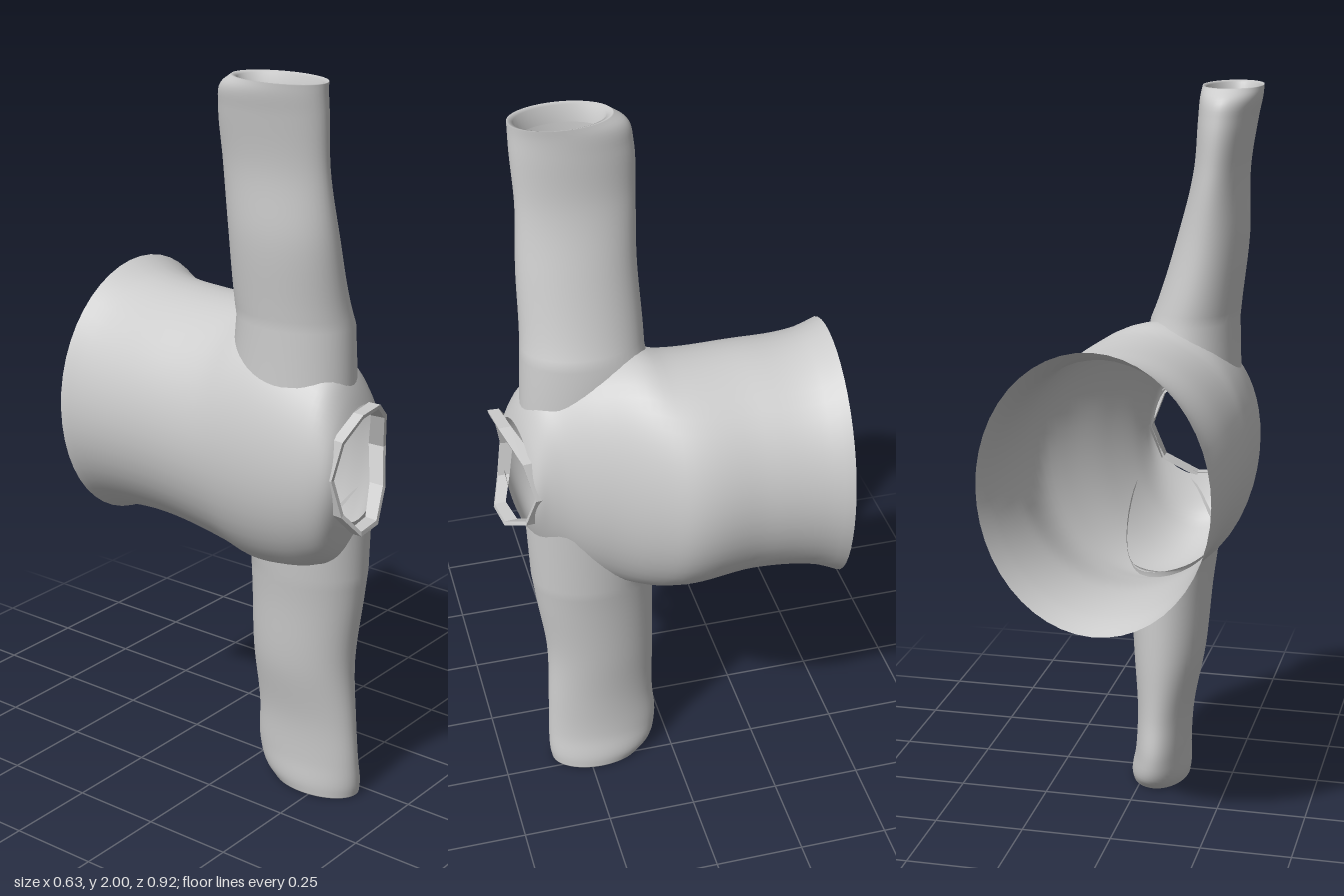
import * as THREE from 'three';

const material = new THREE.MeshStandardMaterial({ color: 0xcccccc, side: THREE.DoubleSide });
const flatMaterial = new THREE.MeshStandardMaterial({ color: 0xcccccc, side: THREE.DoubleSide, flatShading: true });
const SIDES = 48;

// Skin a list of closed rings, each an array of [x, y, z]
function loft(name, rings, mat = material) {
  const n = rings[0].length;
  const index = [];
  for (let r = 0; r < rings.length - 1; r++) {
    for (let i = 0; i < n; i++) {
      const a = r * n + i, b = r * n + (i + 1) % n;
      index.push(a, b, a + n, b, b + n, a + n);
    }
  }
  const geometry = new THREE.BufferGeometry();
  geometry.setAttribute('position', new THREE.Float32BufferAttribute(rings.flat(2), 3));
  geometry.setIndex(index);
  geometry.computeVertexNormals();
  const mesh = new THREE.Mesh(geometry, mat);
  mesh.name = name;
  return mesh;
}

// One closed ring: point(cos, sin) for each angle
function ring(sides, point) {
  return Array.from({ length: sides }, (_, i) => {
    const a = (i / sides) * Math.PI * 2;
    return point(Math.cos(a), Math.sin(a));
  });
}

// Smooth lookup through rows of [t, low1, high1, low2, high2]
function profile(rows) {
  const curve = new THREE.CubicInterpolant(rows.map(r => r[0]), rows.flatMap(r => r.slice(1)), 4);
  return t => {
    const [a0, a1, b0, b1] = curve.evaluate(t);
    return { ca: (a0 + a1) / 2, ra: (a1 - a0) / 2, cb: (b0 + b1) / 2, rb: (b1 - b0) / 2 };
  };
}

// Torso: z, x range, y range
const torsoAt = profile([
  [-0.44, -0.31, 0.31, 0.66, 1.4],
  [-0.38, -0.31, 0.293, 0.685, 1.37],
  [-0.2, -0.315, 0.27, 0.7, 1.355],
  [0, -0.315, 0.258, 0.67, 1.36],
  [0.08, -0.315, 0.21, 0.655, 1.375],
  [0.2, -0.315, 0.12, 0.67, 1.35],
  [0.3, -0.305, 0.06, 0.71, 1.3],
  [0.36, -0.29, 0.035, 0.76, 1.26],
  [0.39, -0.272, 0.025, 0.83, 1.2],
  [0.4, -0.258, 0.018, 0.86, 1.17],
]);

function buildTorso() {
  const rings = [];
  const levels = 44;
  for (let k = 0; k <= levels; k++) {
    const u = k / levels;
    const z = -0.44 + 0.84 * (1 - (1 - u) ** 1.5);
    const s = torsoAt(z);
    // both open ends are cut slightly askew
    const back = THREE.MathUtils.smoothstep(-z, 0.2, 0.44);
    const front = THREE.MathUtils.smoothstep(z, 0.2, 0.4);
    rings.push(ring(SIDES, (c, q) => [
      s.ca + s.ra * c,
      s.cb + s.rb * q,
      z + 0.02 * c * (back - front) + 0.008 * back * Math.abs(q) * q,
    ]));
  }
  return loft('torso', rings);
}

// Sleeve: y, x range, z range, listed from body to open end
function buildSleeve(name, rows, up) {
  const sorted = up > 0 ? rows : [...rows].reverse();
  const at = profile(sorted);
  const start = rows[0][0], end = rows[rows.length - 1][0];
  const sleeveRing = (y, scale = 1, shift = 0) => {
    const s = at(y);
    return ring(SIDES, (c, q) => [s.ca + s.ra * c * scale, y + shift, s.cb + s.rb * q * scale]);
  };
  // root ring dropped onto the torso surface
  const root = sleeveRing(start, 1.04).map(([x, , z]) => {
    const t = torsoAt(Math.min(z, 0.39));
    const d = (x - t.ca) / t.ra;
    return [x, t.cb + up * (t.rb * Math.sqrt(Math.max(0.12, 1 - d * d)) - 0.015), z];
  });
  const rings = [root];
  for (let k = 0; k <= 36; k++) {
    const u = k / 36;
    rings.push(sleeveRing(start + (end - start) * (1 - (1 - u) ** 1.6)));
  }
  // turned-in hem
  rings.push(sleeveRing(end, 0.88, -up * 0.005), sleeveRing(end, 0.8, -up * 0.05));
  return loft(name, rings);
}

// Collar: a short faceted band standing around the neck hole
function buildCollar() {
  const band = (rx, ry, side, tilt, peak) => ring(10, (c, q) => [
    -0.12 + rx * c - 0.03 * Math.abs(q) ** 3, 1.015 + ry * q, side - tilt * c + (peak - side) * q * q,
  ]);
  return loft('collar', [
    band(0.145, 0.172, 0.36, 0.025, 0.428),
    band(0.15, 0.172, 0.4, 0.02, 0.46),
    band(0.138, 0.16, 0.4, 0.02, 0.457),
    band(0.136, 0.158, 0.36, 0.025, 0.425),
  ], flatMaterial);
}

export function createModel() {
  const model = new THREE.Group();
  model.name = 'garment';
  model.add(buildTorso());
  model.add(buildSleeve('upperSleeve', [
    [1.37, -0.257, -0.015, 0.04, 0.375],
    [1.42, -0.262, -0.035, 0.04, 0.37],
    [1.6, -0.28, -0.09, 0.045, 0.365],
    [1.78, -0.28, -0.135, 0.04, 0.355],
    [1.92, -0.3, -0.145, 0.04, 0.36],
    [1.975, -0.31, -0.148, 0.055, 0.36],
    [2.0, -0.31, -0.15, 0.09, 0.36],
  ], 1));
  model.add(buildSleeve('lowerSleeve', [
    [0.68, -0.2, 0.05, 0.04, 0.385],
    [0.6, -0.19, 0.042, 0.04, 0.375],
    [0.4, -0.172, 0.028, 0.04, 0.35],
    [0.22, -0.138, 0.017, 0.045, 0.355],
    [0.1, -0.13, 0.022, 0.04, 0.36],
    [0.03, -0.13, 0.036, 0.06, 0.36],
    [0.0, -0.125, 0.036, 0.09, 0.355],
  ], -1));
  model.add(buildCollar());
  return model;
}
